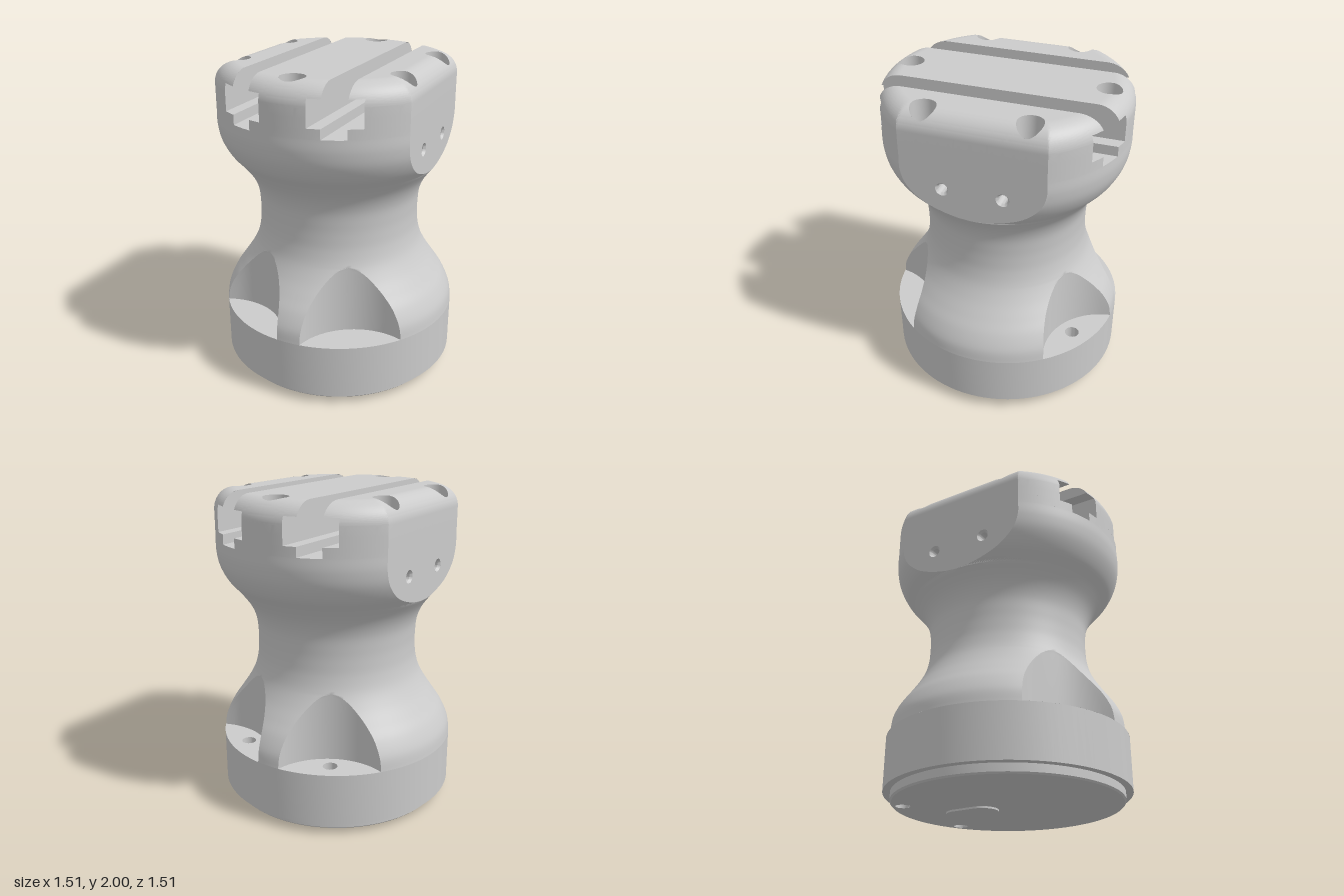
import * as THREE from 'three';
import { mergeGeometries, toCreasedNormals } from 'three/addons/utils/BufferGeometryUtils.js';

const R = 0.755, FLAT = 0.62, FILLET = 0.13, TOP = 2;   // head radius, side flats, top rounding
const SLOT = 0.285, NECK = 0.067, WIDE = 0.143;         // T-slot centre and half widths
const POCKET_D = 0.935, POCKET_R = 0.395;               // upright cylinders that scoop the foot
const lerp = THREE.MathUtils.lerp;

// Outer profile (radius, height); point 5 is the pocket tip, point 11 the start of the flats
const profile = new THREE.SplineCurve([
  [0.755, 0.40], [0.742, 0.48], [0.70, 0.57], [0.645, 0.65], [0.585, 0.74], [0.54, 0.83],
  [0.517, 0.92], [0.51, 1.0], [0.51, 1.08], [0.52, 1.18], [0.555, 1.27], [0.62, 1.36],
  [0.69, 1.44], [0.737, 1.53], [0.755, 1.62], [0.755, 1.70],
].map(p => new THREE.Vector2(...p)));
const prof = k => profile.getPoint(k / 15);

// Grid surface from a rule; circles {p, q, r} are cut out by moving inner points to the rim
function patch(f, nu, nv, holes = [], lift = (...p) => p) {
  const pos = [], inside = [], index = [];
  for (let j = 0; j <= nv; j++) for (let i = 0; i <= nu; i++) {
    const p = f(i / nu, j / nv);
    let cut = false;
    for (const h of holes) {
      const d = Math.hypot(p[0] - h.p, p[1] - h.q) || 1e-9;
      if (d < h.r) {
        cut = true;
        p[0] = h.p + (p[0] - h.p) * h.r / d;
        p[1] = h.q + (p[1] - h.q) * h.r / d;
      }
    }
    inside.push(cut);
    pos.push(...lift(...p));
  }
  const tri = (a, b, c) => { if (!(inside[a] && inside[b] && inside[c])) index.push(a, b, c); };
  for (let j = 0; j < nv; j++) for (let i = 0; i < nu; i++) {
    const a = j * (nu + 1) + i, b = a + 1, c = a + nu + 1, d = c + 1;
    tri(a, b, d);
    tri(a, d, c);
  }
  const g = new THREE.BufferGeometry();
  g.setAttribute('position', new THREE.Float32BufferAttribute(pos, 3));
  g.setIndex(index);
  return g;
}

const polar = (phi, r, y) => [r * Math.sin(phi), y, r * Math.cos(phi)];
const headRadius = y => y <= TOP - FILLET ? R
  : R - FILLET + Math.sqrt(Math.max(0, FILLET ** 2 - (y - TOP + FILLET) ** 2));
const halfZ = (x, y) => Math.sqrt(headRadius(y) ** 2 - x * x);
function topY(x, z) {
  const e = FILLET - Math.min(R - Math.hypot(x, z), FLAT - Math.abs(x));
  return TOP - FILLET + (e <= 0 ? FILLET : Math.sqrt(Math.max(0, FILLET ** 2 - e * e)));
}
// Half angle of a pocket where the body has radius r, and pocket wall distance at angle a
const pocketAngle = r => Math.acos(Math.min(1, (POCKET_D ** 2 + r * r - POCKET_R ** 2) / (2 * POCKET_D * r)));
const pocketWall = a => POCKET_D * Math.cos(a)
  - Math.sqrt(Math.max(0, POCKET_R ** 2 - (POCKET_D * Math.sin(a)) ** 2));

const Q = Math.PI / 2, P = Math.PI / 6;
const boltHoles = [0, 1, 2, 3, 4, 5].map(i => ({ p: 0.608 * Math.sin(i * 2 * P), q: 0.608 * Math.cos(i * 2 * P), r: 0.075 }));
const sideHoles = [-0.18, 0.18].map(z => ({ p: z, q: 1.54, r: 0.04 }));
const footHoles = [-1, 1].map(s => ({ p: s * 0.3175, q: -0.55, r: 0.045 }));

// Foot and waist, front half
function bodyParts() {
  const parts = [];
  for (const [from, s0, to, s1, n] of [[-Q, 0, -P, -1, 24], [-P, 1, P, -1, 24], [P, 1, Q, 0, 24]])
    parts.push(patch((u, v) => {
      const { x: r, y } = prof(5 * v), a = pocketAngle(r);
      return polar(lerp(from + s0 * a, to + s1 * a, u), r, y);
    }, n, 30));
  for (const c of [-P, P])
    parts.push(patch((u, v) => {
      const { x: r, y } = prof(5 * v), a = (2 * u - 1) * pocketAngle(r);
      return polar(c + a, pocketWall(a), y);
    }, 32, 30));
  parts.push(patch((u, v) => {
    const { x: r, y } = prof(lerp(5, 11, v));
    return polar(lerp(-Q, Q, u), r, y);
  }, 72, 36));
  return parts;
}

// Head, built as the half that repeats when turned by 180 degrees
function headParts() {
  const parts = [];
  // flared front wall and side flat
  parts.push(patch((u, v) => {
    const { x: r, y } = prof(lerp(11, 15, v));
    return polar((2 * u - 1) * Math.asin(Math.min(1, FLAT / r)), r, y);
  }, 72, 24));
  parts.push(patch((u, v) => {
    const { x: r, y } = prof(lerp(11, 15, v));
    return [(1 - 2 * u) * Math.sqrt(Math.max(0, r * r - FLAT * FLAT)), y];
  }, 100, 50, sideHoles, (z, y) => [FLAT, y, z]));
  parts.push(patch((u, v) => [FLAT, lerp(1.7, 1.87, v), (1 - 2 * u) * halfZ(FLAT, 1.7)], 100, 2));
  // front wall between the slot mouths
  for (const [w, y0, y1] of [[NECK, 1.70, 1.76], [WIDE, 1.76, 1.87]])
    for (const [x0, x1] of [[-FLAT, -SLOT - w], [-SLOT + w, SLOT - w], [SLOT + w, FLAT]])
      parts.push(patch((u, v) => {
        const x = lerp(x0, x1, u), y = lerp(y0, y1, v);
        return [x, y, halfZ(x, y)];
      }, 20, 2));
  // T-slot side walls
  for (const s of [-1, 1])
    for (const [w, y0, y1] of [[NECK, 1.70, 1.76], [WIDE, 1.76, 1.92], [NECK, 1.92, 2]])
      parts.push(patch((u, v) => {
        const x = SLOT + s * w, y = lerp(y0, y1, v);
        return [x, y, s * (2 * u - 1) * halfZ(x, y)];
      }, 4, 10));
  // T-slot floor, ledges and lip undersides (dir: 1 faces up, -1 down)
  const level = (x0, x1, y, dir) => parts.push(patch((u, v) => {
    const x = lerp(x0, x1, u);
    return [x, y, dir * (1 - 2 * v) * halfZ(x, y)];
  }, 10, 4));
  level(SLOT - NECK, SLOT + NECK, 1.70, 1);
  for (const [y, dir] of [[1.76, 1], [1.92, -1]]) {
    level(SLOT - WIDE, SLOT - NECK, y, dir);
    level(SLOT + NECK, SLOT + WIDE, y, dir);
  }
  // rounded top strips
  const strip = (x0, x1, r, nx, ease = t => t) => parts.push(patch((u, v) => {
    const x = lerp(x0, x1, ease(u));
    return [x, Math.sin(Q * (1 - 2 * v)) * Math.sqrt(r * r - x * x)];
  }, nx, 120, boltHoles, (x, z) => [x, topY(x, z), z]));
  strip(0, SLOT - WIDE, R, 18);
  strip(SLOT - WIDE, SLOT - NECK, R - 0.01, 6);
  strip(SLOT + NECK, SLOT + WIDE, R - 0.01, 6);
  strip(SLOT + WIDE, FLAT, R, 30, t => Math.sin(Q * t));
  return parts;
}

export function createModel() {
  const group = new THREE.Group();
  const mat = new THREE.MeshStandardMaterial({ color: 0xcccccc, side: THREE.DoubleSide });
  const add = (name, geo) => {
    const m = new THREE.Mesh(geo, mat);
    m.name = name;
    group.add(m);
    return m;
  };
  const lathe = (pts, n = 32) => toCreasedNormals(
    new THREE.LatheGeometry(pts.map(p => new THREE.Vector2(...p)), n), 0.5);

  const half = [...bodyParts(), ...headParts()];
  const whole = [...half, ...half.map(g => g.clone().rotateY(Math.PI))];
  add('bodyAndHead', toCreasedNormals(mergeGeometries(whole), 0.5));

  // Base drum with stepped foot ring
  add('baseDrum', lathe([[0.70, 0.012], [0.71, 0.022], [0.71, 0.07], [R, 0.07], [R, 0.40]], 96));
  const disc = new THREE.Shape().absarc(0, 0, 0.70, 0, Math.PI * 2);
  for (const h of footHoles) disc.holes.push(new THREE.Path().absarc(h.p, h.q, h.r, 0, Math.PI * 2, true));
  add('undersidePlate', new THREE.ShapeGeometry(disc, 48).rotateX(Q)).position.y = 0.012;

  // Rounded pad under the base
  const pad = new THREE.Shape().absarc(0, -0.18, 0.1, 0, Math.PI).absarc(0, -0.33, 0.1, Math.PI, Math.PI * 2);
  add('undersidePad', new THREE.ExtrudeGeometry(pad, { depth: 0.012, bevelEnabled: false, curveSegments: 16 })
    .rotateX(Q)).position.y = 0.012;

  // Pocket floors; the rear pair have through holes
  for (const c of [P, -P, Math.PI - P, P - Math.PI]) {
    const a0 = pocketAngle(R);
    const floor = patch((u, v) => {
      const a = (2 * u - 1) * a0, [x, , z] = polar(c + a, lerp(R, pocketWall(a), v), 0);
      return [x, z];
    }, 60, 24, footHoles, (x, z) => [x, 0.40, z]);
    floor.computeVertexNormals();
    add('pocketFloor', floor);
  }
  for (const h of footHoles)
    add('footHole', lathe([[h.r, 0.012], [h.r, 0.40]])).position.set(h.p, 0, h.q);

  // Counterbored bolt holes in the top
  for (const h of boltHoles) {
    const rim = patch((u, v) => {
      const a = -u * Math.PI * 2, x = h.p + h.r * Math.sin(a), z = h.q + h.r * Math.cos(a);
      return [x, lerp(1.84, topY(x, z), v), z];
    }, 48, 1);
    rim.computeVertexNormals();
    add('counterbore', rim);
    add('boltHole', lathe([[h.r, 1.84], [0.043, 1.84], [0.043, 1.6], [0, 1.6]])).position.set(h.p, 0, h.q);
  }

  // Small countersunk holes in the side flats
  for (const s of [-1, 1]) for (const h of sideHoles) {
    const m = add('sideHole', lathe([[h.r, 0], [0.028, -0.015], [0.028, -0.1], [0, -0.11]]));
    m.rotation.z = -s * Q;
    m.position.set(s * FLAT, h.q, h.p);
  }
  return group;
}
